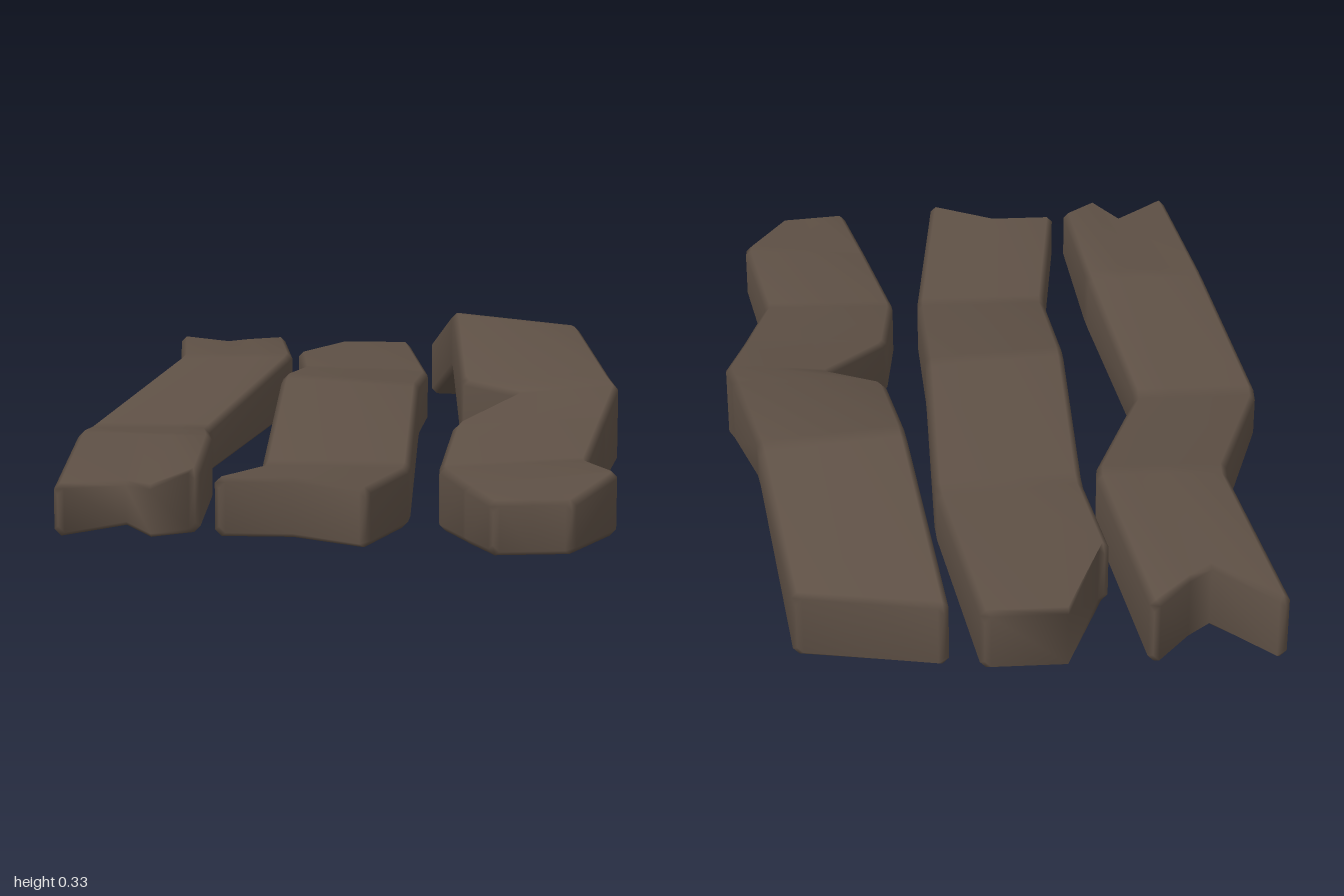
import * as THREE from 'three';

const BEVEL = 0.013;
const mix = (a, b, t) => a.map((v, i) => v + (b[i] - v) * t);
const mixRow = (r, s, t) => r.map((p, i) => mix(p, s[i], t));

// Rows run from back to front; each point is [x, z, top y, bottom y], left to right.
// Two-point rows are filled in at the given fractions of the width.
function plankGeometry(rows, fractions) {
  const full = rows.map(r => r.length > 2 ? r : fractions.map(f => mix(r[0], r[1], f)));
  const n = fractions.length, last = full.length - 1;

  // Soften each bend by replacing it with a close pair of rows
  const path = [];
  full.forEach((r, i) => {
    if (i === 0 || i === last) path.push(r);
    else path.push(mixRow(r, full[i - 1], 0.05), mixRow(r, full[i + 1], 0.05));
  });

  // Bevelled ring: across the top, down one side, back along the bottom, up the other
  const positions = [];
  const addRing = (row, shiftZ, inset) => {
    const put = (p, dx, y) => positions.push(p[0] + dx, y, p[1] + shiftZ);
    const side = k => (k === 0 ? 1 : k === n - 1 ? -1 : 0);
    const L = row[0], R = row[n - 1], b = BEVEL, e = inset;
    for (let k = 0; k < n; k++) put(row[k], side(k) * (b + e), row[k][2] - e);
    put(R, -e, R[2] - b - e);
    put(R, -e, R[3] + b + e);
    for (let k = n - 1; k >= 0; k--) put(row[k], side(k) * (b + e), row[k][3] + e);
    put(L, e, L[3] + b + e);
    put(L, e, L[2] - b - e);
  };
  const end = path.length - 1;
  addRing(path[0], 0, BEVEL * 0.7);
  path.forEach((r, i) => addRing(r, i === 0 ? BEVEL : i === end ? -BEVEL : 0, 0));
  addRing(path[end], 0, BEVEL * 0.7);

  const m = 2 * n + 4, rings = path.length + 2, index = [];
  const quad = (a, b, c, d) => index.push(a, b, c, a, c, d);
  for (let i = 0; i < rings - 1; i++) {
    for (let j = 0; j < m; j++) {
      const k = (j + 1) % m;
      quad(i * m + j, (i + 1) * m + j, (i + 1) * m + k, i * m + k);
    }
  }
  // End caps, column by column so that notches stay crisp
  const strips = [[0, m - 1, m - 2, m - 3], [n, n - 1, n + 2, n + 1]];
  for (let k = 0; k < n - 1; k++) strips.push([k, m - 3 - k, m - 4 - k, k + 1]);
  const front = (rings - 1) * m;
  strips.forEach(([a, b, c, d]) => {
    quad(front + a, front + b, front + c, front + d);
    quad(d, c, b, a);
  });

  const g = new THREE.BufferGeometry();
  g.setAttribute('position', new THREE.Float32BufferAttribute(positions, 3));
  g.setIndex(index);
  g.computeVertexNormals();
  return g;
}

export function createModel() {
  const group = new THREE.Group();
  group.name = 'brokenPlanks';
  const wood = new THREE.MeshStandardMaterial({ color: 0x5e5045 });
  wood.name = 'weatheredWood';

  const addPlank = (name, fractions, rows) => {
    const mesh = new THREE.Mesh(plankGeometry(rows, fractions), wood);
    mesh.name = name;
    group.add(mesh);
  };

  // Plank with a V cut at the back and a splintered front
  addPlank('rightPlank', [0, 0.46, 0.7, 1], [
    [[-0.52, -1, 0.205, 0.06], [-0.38, -0.88, 0.21, 0.065], [-0.33, -0.923, 0.21, 0.065], [-0.24, -1, 0.205, 0.06]],
    [[-0.46, -0.51, 0.225, 0.08], [-0.18, -0.51, 0.23, 0.08]],
    [[-0.615, 0, 0.13, 0.02], [-0.33, 0, 0.13, 0.02]],
    [[-0.55, 0.5, 0.21, 0.06], [-0.265, 0.5, 0.205, 0.06]],
    [[-0.52, 0.985, 0.19, 0.085], [-0.39, 0.9, 0.18, 0.09], [-0.33, 0.985, 0.19, 0.085], [-0.245, 0.89, 0.205, 0.075]],
  ]);

  // Plank with a clipped back corner
  addPlank('middlePlank', [0, 0.47, 1], [
    [[-0.185, -0.77, 0.2, 0.06], [-0.08, -1, 0.195, 0.06], [0.095, -1, 0.195, 0.06]],
    [[-0.155, -0.5, 0.2, 0.065], [0.16, -0.5, 0.19, 0.065]],
    [[-0.16, 0, 0.258, 0.12], [0.155, 0, 0.24, 0.11]],
    [[-0.16, 0.5, 0.14, 0.01], [0.155, 0.5, 0.14, 0.01]],
    [[-0.215, 0.9, 0.19, 0.07], [-0.06, 0.9, 0.19, 0.07], [0.098, 0.985, 0.19, 0.07]],
  ]);

  // Arched plank with a notch in its inner edge
  addPlank('leftPlank', [0, 0.5, 1], [
    [[0.155, -0.98, 0.205, 0.06], [0.465, -0.925, 0.205, 0.06]],
    [[0.22, -0.5, 0.342, 0.2], [0.53, -0.5, 0.312, 0.22]],
    [[0.25, -0.09, 0.235, 0.085], [0.595, -0.09, 0.252, 0.09]],
    [[0.38, 0, 0.222, 0.06], [0.612, 0, 0.24, 0.06]],
    [[0.24, 0.21, 0.185, 0.045], [0.575, 0.21, 0.2, 0.045]],
    [[0.215, 0.5, 0.14, 0.004], [0.53, 0.48, 0.155, 0.01]],
    [[0.275, 0.77, 0.155, 0.035], [0.583, 0.76, 0.185, 0.055]],
    [[0.325, 0.995, 0.168, 0.06], [0.495, 0.975, 0.168, 0.06]],
  ]);

  return group;
}
